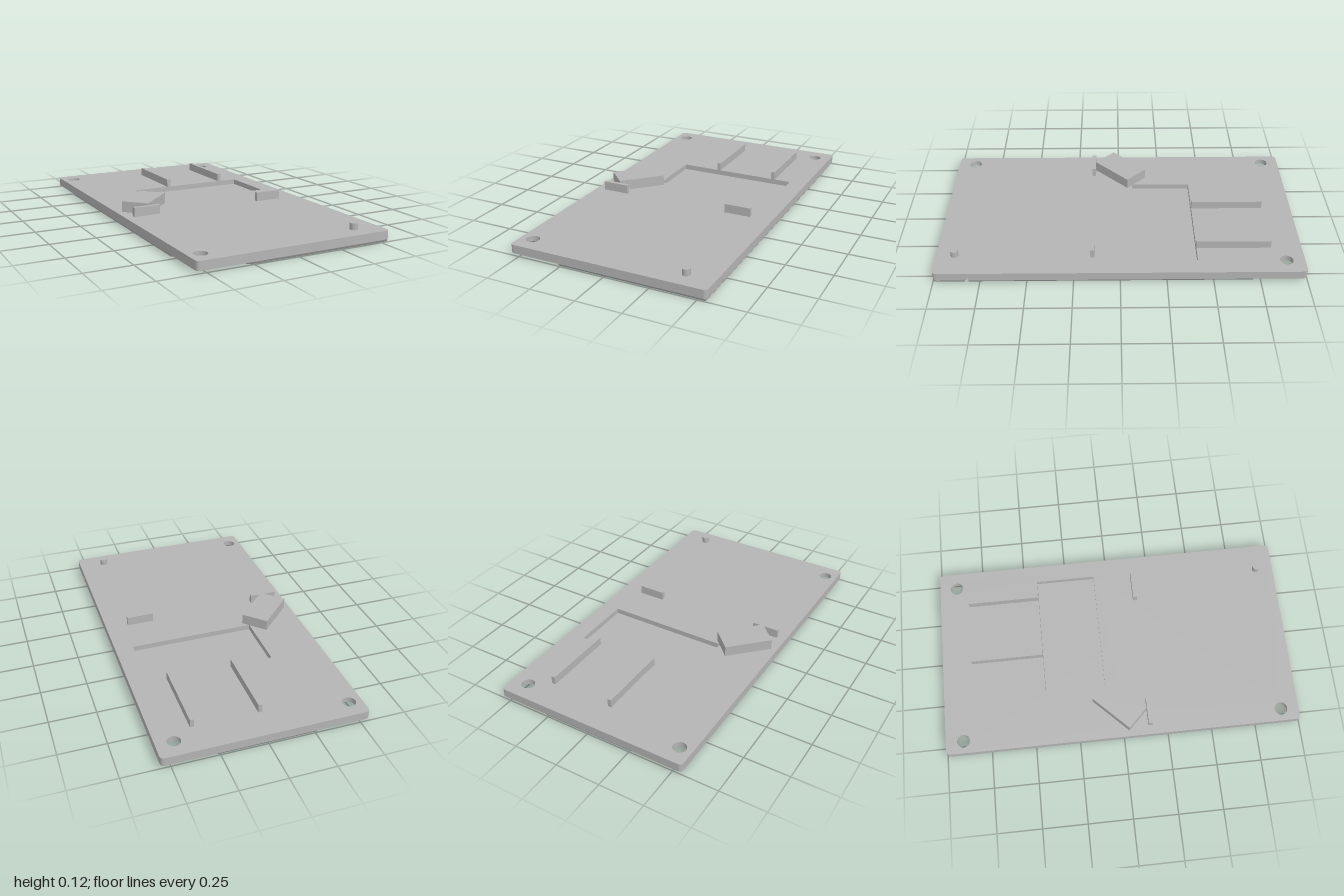
import * as THREE from 'three';

const D = Math.PI / 180;

export function createModel() {
  const group = new THREE.Group();
  const grey = new THREE.MeshStandardMaterial({ color: 0xb4b4b4 });
  grey.name = 'plain grey';
  const greyOpen = grey.clone();
  greyOpen.name = 'plain grey open surface';
  greyOpen.side = THREE.DoubleSide;

  function add(name, geometry, x = 0, y = 0, z = 0, material = grey) {
    const mesh = new THREE.Mesh(geometry, material);
    mesh.name = name;
    mesh.position.set(x, y, z);
    group.add(mesh);
    return mesh;
  }
  const box = (name, x0, x1, y0, y1, z0, z1) => add(name,
    new THREE.BoxGeometry(x1 - x0, y1 - y0, z1 - z0), (x0 + x1) / 2, (y0 + y1) / 2, (z0 + z1) / 2);

  // Plan shapes use (x, z); each layer is extruded between two heights
  const v = (x, z) => new THREE.Vector2(x, z);
  const circle = (x, z, r) => new THREE.Path().absarc(x, z, r, 0, Math.PI * 2, true);
  function layer(name, outline, holes, y0, y1) {
    const shape = new THREE.Shape(outline);
    shape.holes.push(...holes);
    const geo = new THREE.ExtrudeGeometry(shape, { depth: y1 - y0, bevelEnabled: false, curveSegments: 32 });
    geo.rotateX(Math.PI / 2);
    return add(name, geo, 0, y1, 0);
  }

  // A rectangle turned 45 degrees: a is the half length along the channel, b across it
  const diamond = (x, z, a, b) => [[-a, -b], [a, -b], [a, b], [-a, b]]
    .map(([p, q]) => v(x + (p + q) * Math.SQRT1_2, z + (p - q) * Math.SQRT1_2));

  // Diagonal cable channel with a round end near the peg
  const R = 0.085, cx = 0.42, cz = 0.84, ex = -0.425, ez = -0.005;
  const arc = (from, to, n) => Array.from({ length: n + 1 }, (_, i) => {
    const t = (from + (to - from) * i / n) * D;
    return v(cx + R * Math.cos(t), cz + R * Math.sin(t));
  });
  const k = R * Math.SQRT1_2;
  const farEnd = [v(ex + k, ez - k), v(ex - k, ez + k)];
  const channel = [...arc(135, -45, 24), ...farEnd];
  const slottedChannel = [v(0.55, 0.81), ...arc(-20.7, -45, 4), ...farEnd, ...arc(135, -6.8, 20), v(0.55, 0.83)];

  // Plate outline, optionally with three corners cut away and the side slot open
  function plate(cutCorners, slot) {
    const pts = [];
    const round = (x, z, start) => {
      for (let i = 0; i <= 5; i++) {
        const t = (start + i * 18) * D;
        pts.push(v(x + 0.02 * Math.cos(t), z + 0.02 * Math.sin(t)));
      }
    };
    const corner = (x, z, start, a, b) => cutCorners ? pts.push(a, b) : round(x, z, start);
    corner(-0.53, -0.98, 180, v(-0.55, -0.71), v(-0.26, -1));
    corner(0.53, -0.98, 270, v(0.26, -1), v(0.55, -0.71));
    if (slot) pts.push(...slottedChannel);
    round(0.53, 0.98, 0);
    corner(-0.53, 0.98, 90, v(-0.26, 1), v(-0.55, 0.71));
    return pts;
  }

  const holeSpots = [[-0.48, -0.9], [0.455, -0.9], [-0.48, 0.9]];
  const holes = (r) => holeSpots.map(([x, z]) => circle(x, z, r));
  const pocket = () => new THREE.Path([v(-0.25, -0.42), v(-0.25, -0.08), v(0.45, -0.08), v(0.45, -0.42)]);
  const chamberX = ex + 0.036, chamberZ = ez + 0.036;
  const chamber = () => new THREE.Path(diamond(chamberX, chamberZ, 0.05, 0.08));

  // Plate, from the underside up
  const base = layer('plateUnderside', plate(true, true), [], 0, 0.013);
  const p = base.geometry.attributes.position;
  for (let i = 0; i < p.count; i++) { // softened lower edge
    if (p.getY(i) > -0.006) continue;
    p.setX(i, THREE.MathUtils.clamp(p.getX(i), -0.542, 0.542));
    p.setZ(i, THREE.MathUtils.clamp(p.getZ(i), -0.992, 0.992));
  }
  base.geometry.computeVertexNormals();
  layer('plateLower', plate(false, true), holes(0.063), 0.013, 0.03);
  layer('plateMiddle', plate(false, false), [...holes(0.036), pocket(), new THREE.Path(channel)], 0.03, 0.05);
  layer('plateTop', plate(false, false), [...holes(0.036), pocket(), chamber()], 0.05, 0.06);

  // Countersinks under the screw holes
  for (const [x, z] of holeSpots) {
    add('countersink', new THREE.LatheGeometry([v(0.063, 0.013), v(0.036, 0.03)], 32), x, 0, z, greyOpen);
  }

  // Hollow angled housing over the channel end
  const housing = diamond(-0.3675, -0.01, 0.077, 0.135);
  layer('housingWalls', housing, [chamber()], 0.06, 0.09);
  layer('housingLid', housing, [], 0.09, 0.12);

  // Rails behind the pocket
  for (const x of [-0.02, 0.34]) box('rail', x - 0.011, x + 0.011, 0.06, 0.106, -0.83, -0.42);
  // Upright tabs
  for (const x of [-0.423, 0.347]) box('tab', x - 0.076, x + 0.076, 0.06, 0.11, 0.14, 0.163);
  // Peg
  add('peg', new THREE.CylinderGeometry(0.021, 0.021, 0.035, 32), 0.398, 0.0775, 0.9);

  return group;
}
